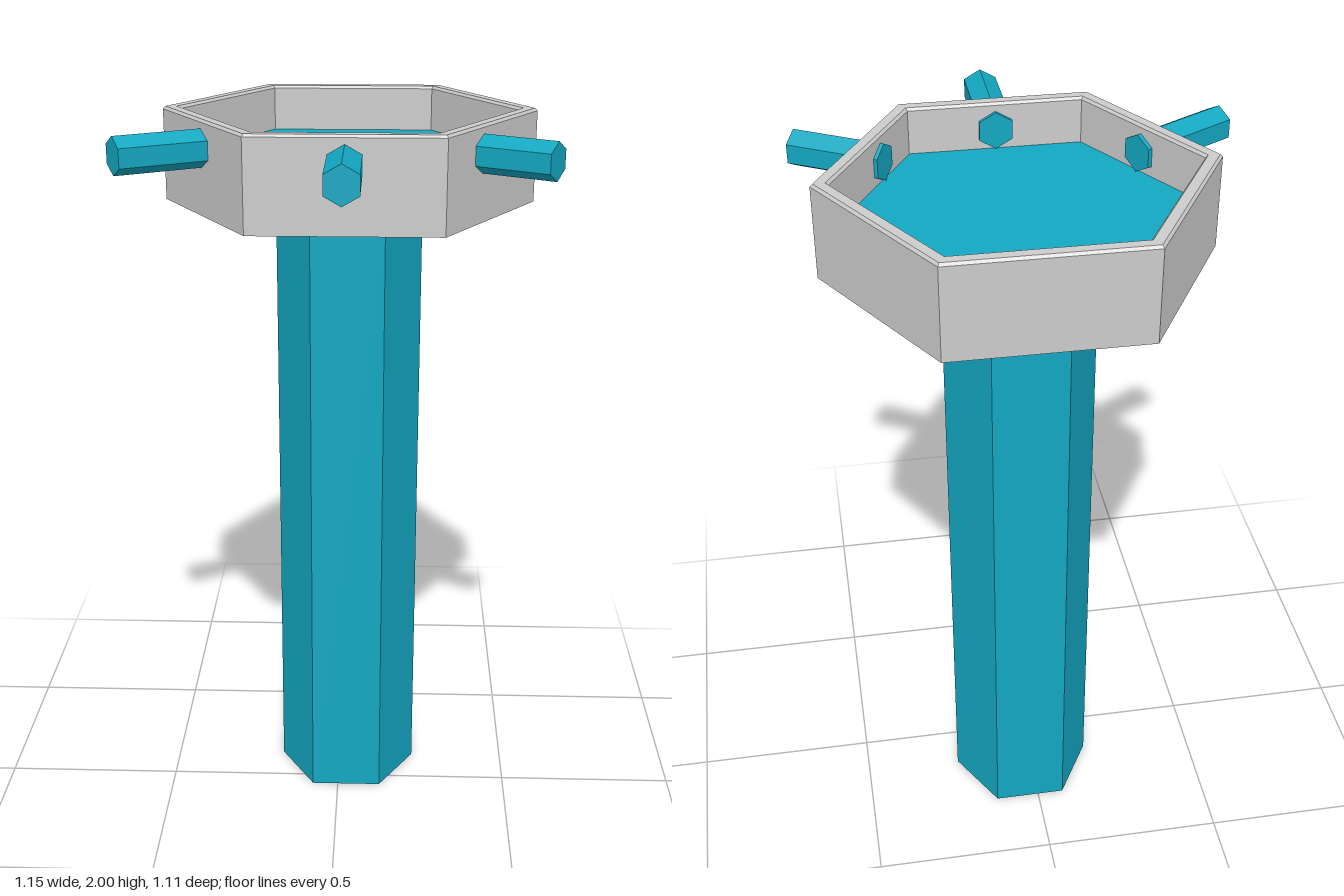
import * as THREE from 'three';

const CENTRE_X = 0.025, CENTRE_Z = -0.125;
const TURN = Math.PI / 6; // puts a hexagon corner on +x and a flat side to the front

const grey = new THREE.MeshStandardMaterial({ color: 0xcccccc, flatShading: true });
const teal = new THREE.MeshStandardMaterial({ color: 0x13a7c1, flatShading: true });
const tealOpen = new THREE.MeshStandardMaterial({ color: 0x13a7c1, flatShading: true, side: THREE.DoubleSide });

function addPart(parent, name, geometry, material, y = 0) {
  const mesh = new THREE.Mesh(geometry, material);
  mesh.name = name;
  mesh.position.y = y;
  parent.add(mesh);
  return mesh;
}

// Hexagonal rod pointing outwards, turned about the basin's axis
function addSpout(parent, name, angle, from, to, shift) {
  const pivot = new THREE.Group();
  pivot.name = name;
  pivot.rotation.y = angle;
  const rod = new THREE.CylinderGeometry(0.05, 0.05, to - from, 6);
  rod.rotateX(Math.PI / 2); // corners at top and bottom
  addPart(pivot, name + 'Rod', rod, teal, 1.927).position.set(shift, 1.927, (from + to) / 2);
  parent.add(pivot);
}

export function createModel() {
  const model = new THREE.Group();
  model.name = 'hexagonalFountain';
  const body = new THREE.Group();
  body.name = 'fountainBody';
  body.position.set(CENTRE_X, 0, CENTRE_Z);
  model.add(body);

  // Hollow post, open at both ends
  addPart(body, 'post', new THREE.CylinderGeometry(0.2, 0.2, 1.74, 6, 1, true, TURN), tealOpen, 0.87);

  // Basin: underside, outer wall, softened rim, inner wall
  const profile = [
    [0, 1.75], [0.5, 1.75], [0.5, 1.993], [0.493, 2],
    [0.463, 2], [0.456, 1.993], [0.456, 1.87],
  ].map(([r, y]) => new THREE.Vector2(r, y));
  addPart(body, 'basin', new THREE.LatheGeometry(profile, 6, TURN), grey);

  // Water surface
  const water = new THREE.CircleGeometry(0.456, 6);
  water.rotateX(-Math.PI / 2);
  addPart(body, 'water', water, tealOpen, 1.875);

  // Spouts through the three front walls
  addSpout(body, 'frontSpout', 0, 0.385, 0.68, 0);
  addSpout(body, 'rightSpout', -Math.PI / 3, 0.383, 0.673, 0);
  addSpout(body, 'leftSpout', Math.PI / 3, 0.385, 0.638, -0.06);

  return model;
}
